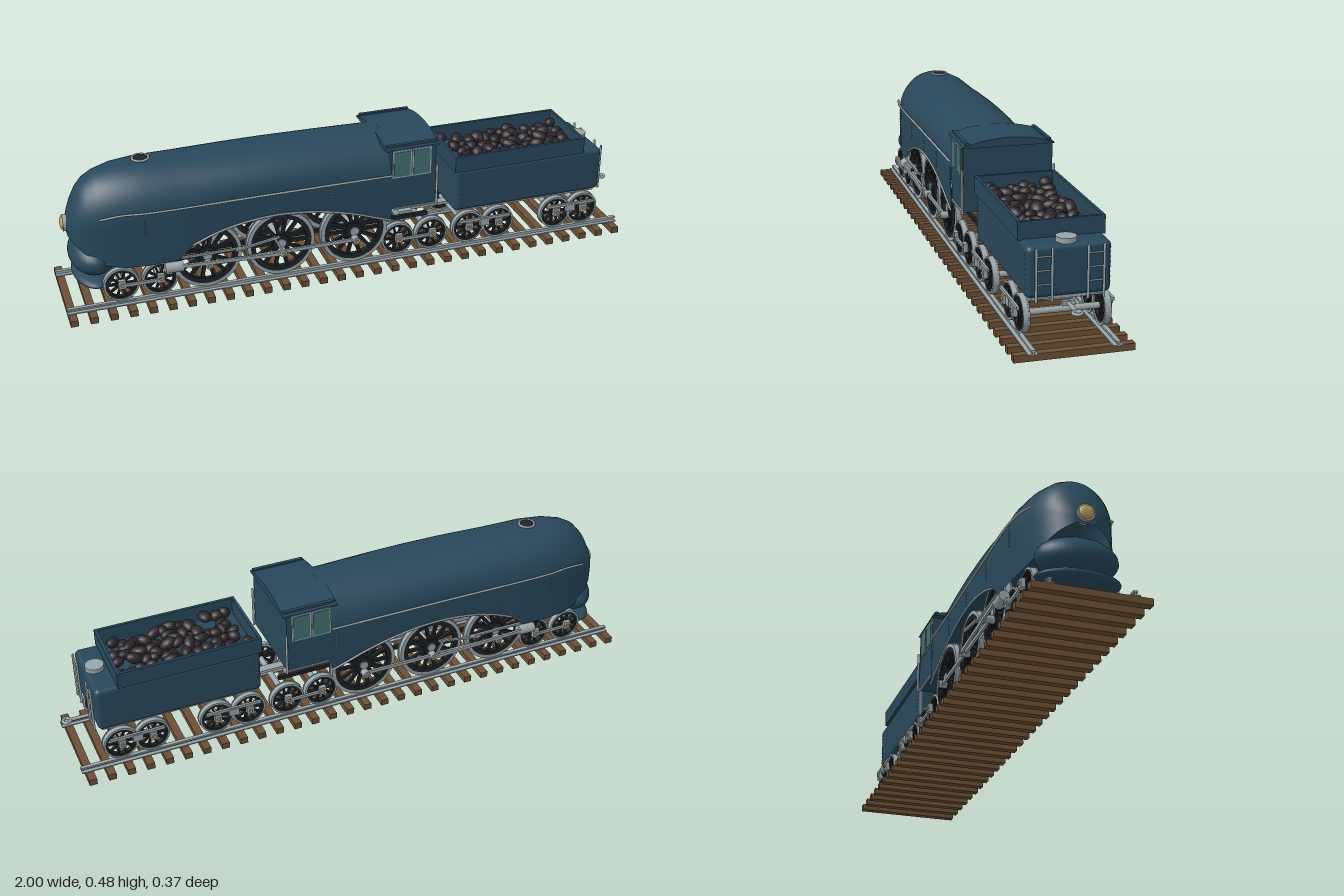
import * as THREE from 'three';
import { RoundedBoxGeometry } from 'three/addons/geometries/RoundedBoxGeometry.js';

const mat = (name, color, side = THREE.FrontSide) => {
  const m = new THREE.MeshStandardMaterial({ color, side });
  m.name = name;
  return m;
};

export function createModel() {
  const blue = mat('blue paint', 0x28475a, THREE.DoubleSide);
  const steel = mat('steel', 0x9aa6aa);
  const black = mat('black iron', 0x1d2126);
  const glass = mat('window glass', 0x44706f);
  const wood = mat('sleeper wood', 0x6b4f36);
  const coal = mat('coal', 0x2b2529);
  const brass = mat('brass', 0xb89a5e);
  const root = new THREE.Group();
  root.name = 'streamlinedTrain';

  const add = (name, geo, m, x = 0, y = 0, z = 0, parent = root) => {
    const mesh = new THREE.Mesh(geo, m);
    mesh.name = name;
    mesh.position.set(x, y, z);
    parent.add(mesh);
    return mesh;
  };
  const box = (name, m, w, h, d, x, y, z, parent) => add(name, new THREE.BoxGeometry(w, h, d), m, x, y, z, parent);
  // Cylinder along x or z (or upright)
  const cyl = (name, m, r, len, axis, x, y, z, parent, n = 20) => {
    const g = new THREE.CylinderGeometry(r, r, len, n);
    if (axis === 'x') g.rotateZ(Math.PI / 2);
    if (axis === 'z') g.rotateX(Math.PI / 2);
    return add(name, g, m, x, y, z, parent);
  };
  const tube = (name, m, r, pts) => {
    const curve = new THREE.CatmullRomCurve3(pts.map(p => new THREE.Vector3(...p)));
    return add(name, new THREE.TubeGeometry(curve, pts.length * 8, r, 6), m);
  };
  // Straight bar between two points in the plane of the side
  const bar = (name, m, x1, y1, x2, y2, z, h = 0.014, d = 0.008) => {
    const b = box(name, m, Math.hypot(x2 - x1, y2 - y1), h, d, (x1 + x2) / 2, (y1 + y2) / 2, z);
    b.rotation.z = Math.atan2(y2 - y1, x2 - x1);
    return b;
  };

  // Track
  for (let i = 0; i < 31; i++) box('sleeper', wood, 0.026, 0.022, 0.366, -0.985 + i * 0.0647, 0.011, 0);
  for (const s of [1, -1]) {
    box('railFoot', steel, 1.98, 0.004, 0.03, -0.01, 0.024, s * 0.128);
    box('railWeb', steel, 1.98, 0.008, 0.005, -0.01, 0.029, s * 0.128);
    box('railHead', steel, 1.98, 0.006, 0.013, -0.01, 0.035, s * 0.128);
  }

  // Streamlined casing: stations of x, half width, top, bottom
  const stations = [
    [-0.963, 0.03, 0.30, 0.25], [-0.953, 0.055, 0.33, 0.238], [-0.94, 0.076, 0.362, 0.226], [-0.92, 0.094, 0.402, 0.21],
    [-0.895, 0.109, 0.432, 0.188], [-0.86, 0.123, 0.452, 0.17], [-0.8, 0.138, 0.468, 0.16], [-0.72, 0.149, 0.475, 0.16],
    [-0.63, 0.152, 0.475, 0.165], [-0.58, 0.152, 0.475, 0.207], [-0.5, 0.152, 0.475, 0.239], [-0.4, 0.152, 0.475, 0.262],
    [-0.28, 0.152, 0.475, 0.27], [-0.15, 0.152, 0.475, 0.257], [-0.03, 0.152, 0.475, 0.228], [0.05, 0.152, 0.475, 0.2],
    [0.107, 0.152, 0.475, 0.18]];
  const pos = [], idx = [], N = 28;
  for (const [x, w, t, b] of stations) {
    const sh = Math.max(t - 0.152, b + (t - b) * 0.45);
    pos.push(x, b, w);
    for (let j = 0; j <= N - 2; j++) {
      const a = Math.PI * j / (N - 2);
      pos.push(x, sh + (t - sh) * Math.sin(a), w * Math.cos(a));
    }
    pos.push(x, b, -w);
  }
  const M = N + 1;
  for (let i = 0; i < stations.length - 1; i++) for (let j = 0; j < N; j++) {
    const a = i * M + j, b = a + M;
    idx.push(a, b, a + 1, b, b + 1, a + 1);
  }
  for (let j = 1; j < N; j++) idx.push(0, j, j + 1);
  const casing = new THREE.BufferGeometry();
  casing.setAttribute('position', new THREE.Float32BufferAttribute(pos, 3));
  casing.setIndex(idx);
  casing.computeVertexNormals();
  add('casing', casing, blue);
  box('casingFloor', blue, 0.8, 0.006, 0.29, -0.3, 0.285, 0);

  // Lower nose, bumper and lamp
  const ball = (name, m, x, y, z, rx, ry, rz) => add(name, new THREE.SphereGeometry(1, 28, 18), m, x, y, z).scale.set(rx, ry, rz);
  ball('noseSkirt', blue, -0.885, 0.17, 0, 0.08, 0.066, 0.128);
  ball('noseBumper', blue, -0.888, 0.1, 0, 0.07, 0.024, 0.133);
  cyl('lampBody', steel, 0.028, 0.03, 'x', -0.958, 0.285, 0);
  ball('lampLens', brass, -0.973, 0.285, 0, 0.009, 0.023, 0.023);

  // Chimney
  cyl('chimney', blue, 0.027, 0.014, 'y', -0.705, 0.47, 0);
  cyl('chimneyMouth', black, 0.024, 0.003, 'y', -0.705, 0.478, 0);
  add('chimneyRing', new THREE.TorusGeometry(0.027, 0.004, 8, 28).rotateX(Math.PI / 2), steel, -0.705, 0.478, 0);

  // Casing trim, handrails and rivets
  const rivet = new THREE.SphereGeometry(0.0025, 6, 4);
  for (const s of [1, -1]) {
    tube('handrail', steel, 0.004, [[-0.87, 0.34, s * 0.127], [-0.8, 0.353, s * 0.143], [-0.72, 0.353, s * 0.153],
      [-0.3, 0.353, s * 0.154], [0.107, 0.353, s * 0.154]]);
    tube('archTrim', steel, 0.004, stations.slice(9).map(p => [p[0], p[3] + 0.004, s * 0.153]));
    for (const x of [-0.73, -0.51, -0.305, -0.107, 0.09])
      for (let k = 0; k < 6; k++) add('rivet', rivet, steel, x, 0.278 + k * 0.011, s * 0.152);
  }

  // Cab with curved roof and windows
  box('cab', blue, 0.158, 0.222, 0.3, 0.186, 0.336, 0);
  const roof = new THREE.Shape();
  roof.moveTo(-0.154, 0.442);
  roof.lineTo(0.154, 0.442);
  roof.lineTo(0.152, 0.447);
  roof.quadraticCurveTo(0, 0.496, -0.152, 0.447);
  add('cabRoof', new THREE.ExtrudeGeometry(roof, { depth: 0.19, bevelEnabled: false, curveSegments: 20 }).rotateY(Math.PI / 2), blue, 0.085);
  for (const s of [1, -1]) {
    for (const x of [0.143, 0.213]) {
      box('windowFrame', steel, 0.068, 0.1, 0.004, x, 0.391, s * 0.15);
      box('windowPane', glass, 0.058, 0.09, 0.008, x, 0.391, s * 0.15);
    }
    box('roofGutter', blue, 0.18, 0.008, 0.012, 0.18, 0.455, s * 0.138);
    cyl('cabHandrail', steel, 0.004, 0.15, 'y', 0.268, 0.295, s * 0.155);
    box('cabSill', steel, 0.15, 0.005, 0.008, 0.19, 0.226, s * 0.151);
  }

  // Spoked wheels
  const wheel = (x, y, z, r, spokes) => {
    const g = new THREE.Group();
    g.name = 'wheel';
    g.position.set(x, y, z);
    const s = Math.sign(z);
    const rim = (name, m, r0, r1, d, dz) => {
      const profile = [[r0, -d], [r1, -d], [r1, d], [r0, d], [r0, -d]].map(p => new THREE.Vector2(...p));
      const geo = new THREE.LatheGeometry(profile, 40).toNonIndexed().rotateX(Math.PI / 2);
      geo.computeVertexNormals();
      add(name, geo, m, 0, 0, dz, g);
    };
    rim('tyre', steel, r * 0.9, r, 0.009, 0);
    rim('flange', steel, r * 0.9, r * 1.03, 0.002, -s * 0.01);
    rim('innerRim', black, r * 0.76, r * 0.91, 0.008, 0);
    cyl('hub', black, r * 0.25, 0.02, 'z', 0, 0, 0, g);
    cyl('axleCap', steel, r * 0.13, 0.028, 'z', 0, 0, 0, g);
    for (let i = 0; i < spokes; i++) {
      const a = i / spokes * Math.PI * 2, c = r * 0.5;
      box('spoke', black, r * 0.65, r * 0.08 + 0.002, 0.01, Math.cos(a) * c, Math.sin(a) * c, 0, g).rotation.z = a;
    }
    root.add(g);
  };
  const drivers = [-0.53, -0.277, -0.02], bogies = [[-0.818, -0.69], [0.139, 0.262], [0.4, 0.513], [0.735, 0.84]];
  const axle = (x, y, r, n) => {
    cyl('axle', steel, 0.01, 0.25, 'z', x, y, 0);
    for (const s of [1, -1]) wheel(x, y, s * 0.125, r, n);
  };
  drivers.forEach(x => axle(x, 0.156, 0.117, 14));

  // Bogies with side frames and axle boxes
  bogies.forEach((pair, i) => {
    const mid = (pair[0] + pair[1]) / 2, len = pair[1] - pair[0];
    pair.forEach(x => axle(x, 0.098, 0.059, 10));
    box('bogieBolster', steel, len * 0.4, 0.035, 0.09, mid, 0.132, 0);
    for (const s of [1, -1]) {
      box('bogieFrame', steel, len + (i > 1 ? 0.08 : 0.02), 0.01, 0.008, mid, i > 1 ? 0.128 : 0.1, s * 0.145);
      for (const x of pair) {
        box('axleBox', steel, 0.024, 0.03, 0.014, x, 0.106, s * 0.145);
        cyl('axleBoxCap', brass, 0.006, 0.006, 'z', x, 0.106, s * 0.154);
      }
      if (i > 1) box('bogieSpring', steel, 0.035, 0.026, 0.012, mid, 0.115, s * 0.145);
    }
  });

  // Engine frames, cylinders and rods
  for (const s of [1, -1]) {
    box('engineFrame', black, 1.1, 0.014, 0.012, -0.28, 0.145, s * 0.07);
    cyl('steamCylinder', steel, 0.018, 0.06, 'x', -0.645, 0.14, s * 0.148);
    bar('couplingRod', steel, -0.53, 0.13, -0.02, 0.13, s * 0.147, 0.012);
    bar('mainRod', steel, -0.62, 0.145, -0.277, 0.13, s * 0.16, 0.012);
    bar('slideBar', steel, -0.62, 0.172, -0.42, 0.172, s * 0.152, 0.007);
    bar('valveRod', steel, -0.44, 0.17, -0.29, 0.195, s * 0.16, 0.007);
    bar('linkRod', steel, -0.277, 0.13, -0.31, 0.2, s * 0.163, 0.008, 0.006);
    drivers.forEach(x => {
      cyl('crankPin', steel, 0.013, 0.03, 'z', x, 0.13, s * 0.147);
      cyl('pinCap', brass, 0.006, 0.008, 'z', x, 0.13, s * 0.163);
    });
  }
  box('drawbar', steel, 0.17, 0.01, 0.03, 0.31, 0.14, 0);

  // Tender tank and bunker
  add('tenderTank', new RoundedBoxGeometry(0.557, 0.157, 0.256, 4, 0.016), blue, 0.627, 0.2405, 0);
  box('tenderUnderframe', steel, 0.53, 0.01, 0.22, 0.627, 0.157, 0);
  for (const s of [1, -1]) box('bunkerSide', blue, 0.486, 0.058, 0.01, 0.588, 0.344, s * 0.128);
  for (const x of [0.35, 0.826]) box('bunkerEnd', blue, 0.01, 0.058, 0.25, x, 0.344, 0);
  cyl('fillerCap', steel, 0.031, 0.016, 'y', 0.87, 0.326, 0, root, 28);
  for (const s of [1, -1]) for (const x of [0.365, 0.89])
    for (let k = 0; k < 8; k++) add('rivet', rivet, steel, x, 0.19 + k * 0.015, s * 0.128);

  // Coal lumps
  let seed = 7;
  const rnd = () => (seed = (seed * 16807) % 2147483647) / 2147483647;
  const lump = new THREE.IcosahedronGeometry(0.021, 2);
  for (let i = 0; i < 60; i++) {
    const l = add('coalLump', lump, coal, 0.38 + ((i % 12) + rnd()) * 0.036, 0.326 + rnd() * 0.018,
      -0.105 + (Math.floor(i / 12) + rnd()) * 0.042);
    l.scale.set(1 + rnd() * 0.5, 0.7 + rnd() * 0.25, 0.8 + rnd() * 0.3);
    l.rotation.set(rnd() * 0.5, rnd() * 6, rnd() * 0.5);
  }

  // Rear ladders and coupling
  for (const s of [1, -1]) {
    for (const z of [0.054, 0.102]) cyl('ladderRail', steel, 0.004, 0.165, 'y', 0.915, 0.236, s * z, root, 8);
    for (let k = 0; k < 4; k++) cyl('ladderRung', steel, 0.003, 0.048, 'z', 0.915, 0.165 + k * 0.042, s * 0.078, root, 8);
  }
  cyl('couplingBar', steel, 0.006, 0.08, 'x', 0.93, 0.139, 0);
  box('couplingPlate', steel, 0.012, 0.016, 0.04, 0.9, 0.14, 0);
  add('couplingRing', new THREE.TorusGeometry(0.013, 0.005, 8, 20).rotateX(Math.PI / 2), steel, 0.982, 0.139, 0);
  return root;
}
